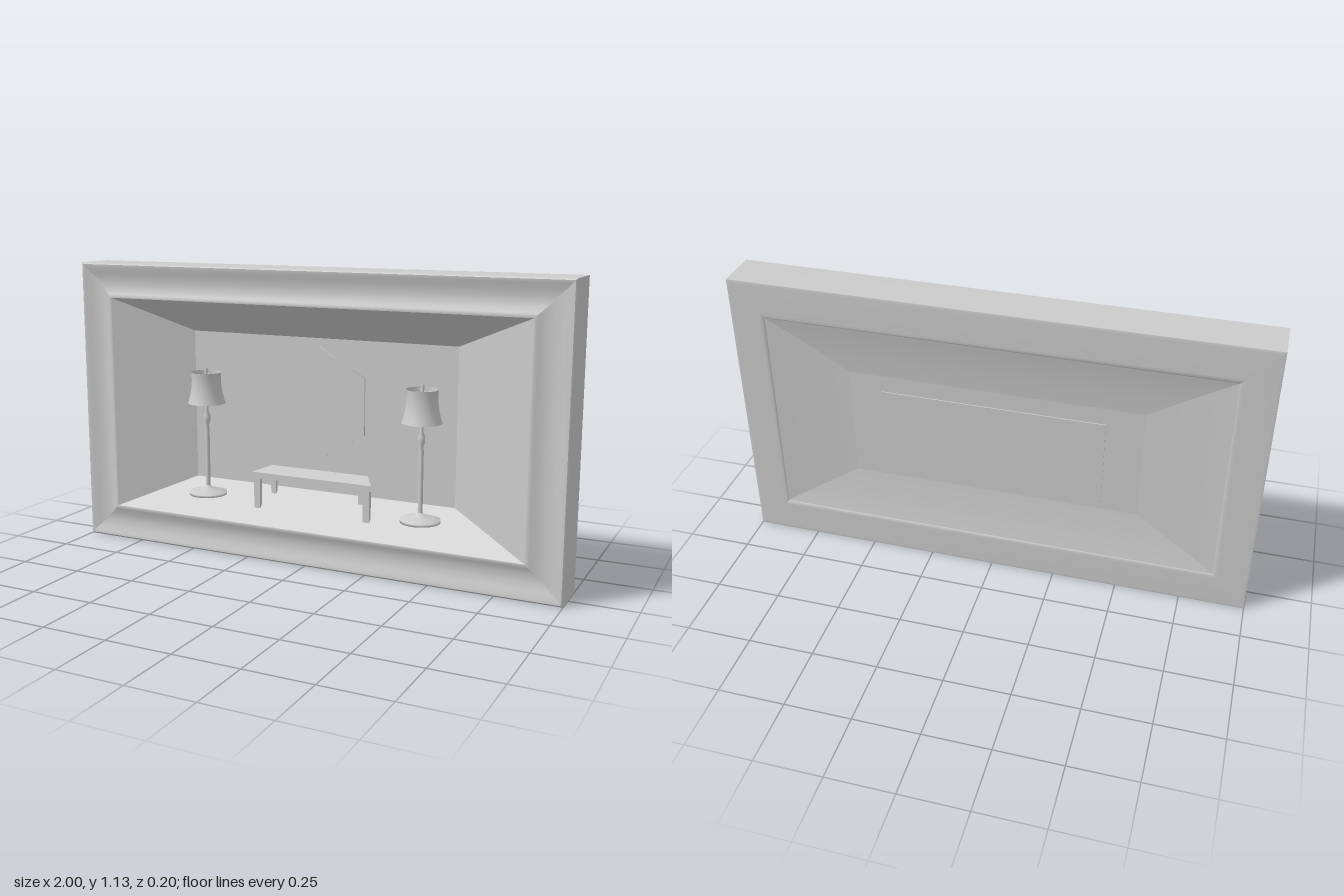
import * as THREE from 'three';

const CY = 0.567; // height of the picture's centre
const material = new THREE.MeshStandardMaterial({ color: 0xcccccc });
const thin = new THREE.MeshStandardMaterial({ color: 0xcccccc, side: THREE.DoubleSide });

function add(parent, name, geometry, mat = material) {
  const mesh = new THREE.Mesh(geometry, mat);
  mesh.name = name;
  parent.add(mesh);
  return mesh;
}

// Four mitred strips following a profile of [halfWidth, halfHeight, z]
function rectLoft(parent, name, profile) {
  const group = new THREE.Group();
  group.name = name;
  parent.add(group);
  const corners = [[-1, -1], [1, -1], [1, 1], [-1, 1]];
  const sides = ['Bottom', 'Left', 'Top', 'Right'];
  for (let k = 0; k < 4; k++) {
    const pos = [], idx = [];
    profile.forEach(([hx, hy, z], j) => {
      for (const c of [corners[k], corners[(k + 1) % 4]]) pos.push(c[0] * hx, CY + c[1] * hy, z);
      if (j > 0) {
        const a = 2 * j - 2;
        idx.push(a, a + 1, a + 3, a, a + 3, a + 2);
      }
    });
    const g = new THREE.BufferGeometry();
    g.setAttribute('position', new THREE.Float32BufferAttribute(pos, 3));
    g.setIndex(idx);
    g.computeVertexNormals();
    add(group, name + sides[k], g);
  }
}

function panel(parent, name, hx, hy, z, facing) {
  const g = new THREE.PlaneGeometry(2 * hx, 2 * hy);
  if (facing < 0) g.rotateY(Math.PI);
  add(parent, name, g).position.set(0, CY, z);
}

// Box whose front and back faces are given as [x0, x1, y0, y1, z]
function taperedBox(front, back) {
  const g = new THREE.BoxGeometry(1, 1, 1);
  const p = g.attributes.position;
  for (let i = 0; i < p.count; i++) {
    const f = p.getZ(i) > 0 ? front : back;
    p.setXYZ(i, p.getX(i) < 0 ? f[0] : f[1], p.getY(i) < 0 ? f[2] : f[3], f[4]);
  }
  g.computeVertexNormals();
  return g;
}

function lathe(points, segments = 32) {
  return new THREE.LatheGeometry(points.map(([r, y]) => new THREE.Vector2(r, y)), segments);
}

function createLamp() {
  const lamp = new THREE.Group();
  lamp.name = 'floorLamp';
  add(lamp, 'lampBase', lathe([[0, 0.225], [0.075, 0.225], [0.075, 0.235], [0.045, 0.241], [0.015, 0.253], [0.009, 0.26]]));
  add(lamp, 'lampPole', lathe([
    [0.009, 0.255], [0.009, 0.49], [0.007, 0.505], [0.013, 0.525], [0.013, 0.545],
    [0.006, 0.562], [0.006, 0.735], [0, 0.737],
  ], 20));
  const flare = new THREE.QuadraticBezierCurve(
    new THREE.Vector2(0.074, 0.595), new THREE.Vector2(0.052, 0.66), new THREE.Vector2(0.059, 0.718));
  add(lamp, 'lampShade', new THREE.LatheGeometry(flare.getPoints(10), 32), thin);
  // Spokes that hold the shade on the pole
  for (let i = 0; i < 3; i++) {
    const spoke = new THREE.CylinderGeometry(0.002, 0.002, 0.056, 6);
    spoke.rotateZ(Math.PI / 2).translate(0.028, 0.71, 0).rotateY(i * Math.PI * 2 / 3);
    add(lamp, 'shadeSpoke', spoke);
  }
  return lamp;
}

function createTable() {
  const table = new THREE.Group();
  table.name = 'table';
  add(table, 'tableTop', taperedBox([-0.255, 0.255, 0.312, 0.335, 0.02], [-0.205, 0.205, 0.33, 0.35, -0.06]));
  for (const s of [-1, 1]) {
    const front = add(table, 'frontLeg', new THREE.BoxGeometry(0.026, 0.135, 0.016));
    front.position.set(s * 0.233, 0.25, 0.01);
    const rear = add(table, 'rearLeg', new THREE.BoxGeometry(0.022, 0.085, 0.013));
    rear.position.set(s * 0.188, 0.282, -0.043);
  }
  return table;
}

export function createModel() {
  const model = new THREE.Group();
  model.name = 'framedRoom';

  // Frame: rounded back border, outer wall and shallow hollow front moulding
  const frame = new THREE.Group();
  frame.name = 'frame';
  model.add(frame);
  rectLoft(frame, 'frameBack', [
    [0.866, 0.425, -0.096], [0.872, 0.431, -0.1], [0.885, 0.444, -0.1], [0.99, 0.557, -0.1], [1, 0.567, -0.098],
  ]);
  rectLoft(frame, 'frameSide', [[1, 0.567, -0.098], [1, 0.567, 0.07], [0.994, 0.561, 0.075]]);
  rectLoft(frame, 'frameMoulding', [
    [0.994, 0.561, 0.075], [0.983, 0.55, 0.074], [0.96, 0.527, 0.066], [0.93, 0.498, 0.06],
    [0.9, 0.468, 0.062], [0.876, 0.445, 0.072], [0.866, 0.436, 0.075], [0.86, 0.43, 0.074],
  ]);

  // Hollow rear with a back plate
  rectLoft(model, 'rearHollow', [
    [0.56, 0.225, -0.066], [0.65, 0.284, -0.072], [0.75, 0.349, -0.081],
    [0.83, 0.401, -0.091], [0.866, 0.425, -0.096],
  ]);
  panel(model, 'rearWall', 0.56, 0.225, -0.066, -1);
  add(model, 'backPlate', new THREE.BoxGeometry(0.847, 0.366, 0.004)).position.set(0, 0.563, -0.098);

  // Tapering room inside the frame
  rectLoft(model, 'roomWall', [[0.86, 0.43, 0.074], [0.555, 0.3, -0.064]]);
  panel(model, 'roomBackWall', 0.555, 0.3, -0.064, 1);

  // Six-sided wall mirror
  const mirror = new THREE.CylinderGeometry(0.22, 0.22, 0.007, 6);
  mirror.rotateX(Math.PI / 2);
  add(model, 'wallMirror', mirror).position.set(0, 0.615, -0.061);

  // Furniture
  model.add(createTable());
  for (const s of [-1, 1]) {
    const lamp = createLamp();
    lamp.position.set(s * 0.452, 0, 0.025);
    model.add(lamp);
  }
  return model;
}
